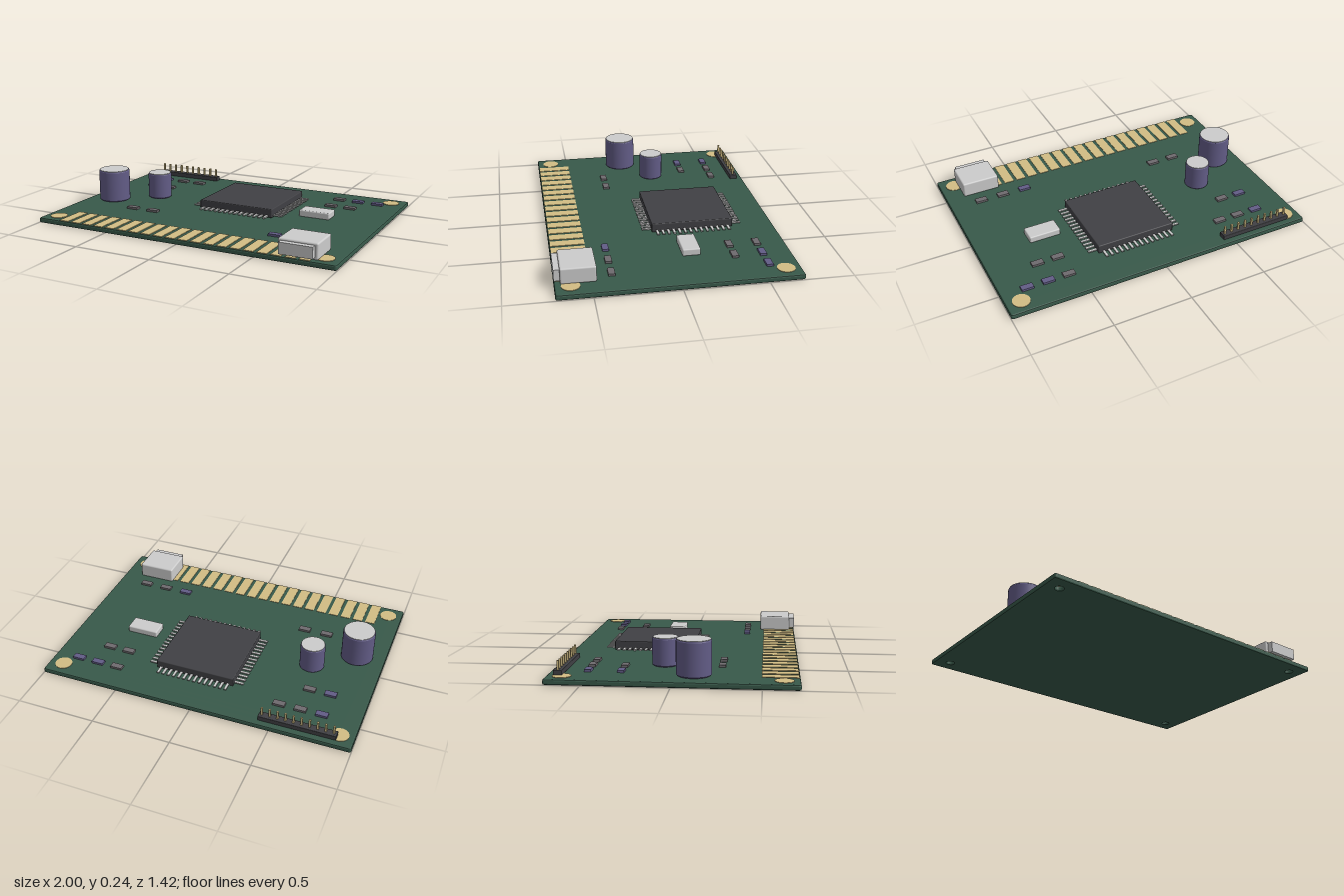
import * as THREE from 'three';
import { RoundedBoxGeometry } from 'three/addons/geometries/RoundedBoxGeometry.js';

const mat = (color) => new THREE.MeshStandardMaterial({ color });

export function createModel() {
  const root = new THREE.Group();
  const green = mat(0x38594a), gold = mat(0xd2bd84), dark = mat(0x404044);
  const purple = mat(0x625c86), brown = mat(0x6e6a6e), metal = mat(0xcccccc);
  const TOP = 0.033; // upper face of the board

  const group = (name) => {
    const g = new THREE.Group();
    g.name = name;
    root.add(g);
    return g;
  };
  const add = (parent, name, geo, material, x, y, z) => {
    const m = new THREE.Mesh(geo, material);
    m.name = name;
    m.position.set(x, y, z);
    parent.add(m);
    return m;
  };
  // block given by size, centre in plan and bottom height; r rounds the edges
  const block = (parent, name, material, [w, h, d], x, y, z, r = 0) =>
    add(parent, name, r ? new RoundedBoxGeometry(w, h, d, 2, r) : new THREE.BoxGeometry(w, h, d),
      material, x, y + h / 2, z);

  // board: bevelled plate with four corner holes
  const W = 1, D = 0.711, c = 0.015, bevel = 0.009;
  const corners = [[-0.91, -0.62], [0.905, -0.62], [-0.91, 0.62], [0.905, 0.62]];
  const plate = new THREE.Shape();
  plate.moveTo(-W + c, -D);
  plate.lineTo(W - c, -D);
  plate.quadraticCurveTo(W, -D, W, -D + c);
  plate.lineTo(W, D - c);
  plate.quadraticCurveTo(W, D, W - c, D);
  plate.lineTo(-W + c, D);
  plate.quadraticCurveTo(-W, D, -W, D - c);
  plate.lineTo(-W, -D + c);
  plate.quadraticCurveTo(-W, -D, -W + c, -D);
  for (const [x, z] of corners) {
    plate.holes.push(new THREE.Path().absarc(x, -z, 0.025, 0, Math.PI * 2, true));
  }
  const boardGeo = new THREE.ExtrudeGeometry(plate, {
    depth: TOP - 2 * bevel, bevelSize: bevel, bevelThickness: bevel,
    bevelOffset: -bevel, bevelSegments: 2, curveSegments: 12,
  });
  boardGeo.rotateX(-Math.PI / 2);
  add(root, 'board', boardGeo, green, 0, bevel, 0);

  // gold pads over the corner holes
  const pads = group('cornerPads');
  for (const [x, z] of corners) {
    add(pads, 'cornerPad', new THREE.CylinderGeometry(0.054, 0.054, 0.004, 32), gold, x, TOP + 0.001, z);
  }

  // edge connector fingers
  const fingers = group('edgeContacts');
  for (let i = 0; i < 20; i++) {
    block(fingers, 'edgeContact', gold, [0.063, 0.004, 0.21], -0.81 + i * 0.0853, TOP - 0.001, 0.6);
  }

  // processor with leads on all four sides
  const chip = group('processor');
  chip.position.set(0.075, 0, -0.19);
  block(chip, 'processorBody', dark, [0.514, 0.057, 0.514], 0, 0.035, 0, 0.006);
  for (let side = 0; side < 4; side++) {
    const row = new THREE.Group();
    row.name = 'leadRow';
    row.rotation.y = side * Math.PI / 2;
    chip.add(row);
    for (let i = 0; i < 14; i++) {
      block(row, 'lead', metal, [0.016, 0.008, 0.07], (i - 6.5) * 0.0346, 0.043, 0.28);
    }
  }

  // can capacitors: coloured sleeve with rounded shoulder and a metal lid
  const capacitor = (x, z, r, top) => {
    const h = top - TOP, b = 0.008;
    const g = group('capacitor');
    g.position.set(x, TOP, z);
    const profile = [
      [0, 0], [r - b, 0], [r, b], [r, b], [r, h - b], [r, h - b],
      [r - b * 0.3, h - b * 0.3], [r - b, h], [r - b, h], [0, h],
    ].map(([px, py]) => new THREE.Vector2(px, py));
    add(g, 'sleeve', new THREE.LatheGeometry(profile, 40), purple, 0, 0, 0);
    add(g, 'lid', new THREE.CylinderGeometry(r * 0.95, r * 0.95, 0.006, 40), metal, 0, h - 0.001, 0);
  };
  capacitor(-0.82, 0.115, 0.102, 0.242);
  capacitor(-0.575, -0.075, 0.078, 0.204);

  // crystal can
  block(root, 'crystal', metal, [0.204, 0.044, 0.11], 0.567, 0.032, -0.115, 0.008);

  // port shell with its projecting mouth
  const port = group('port');
  block(port, 'portShell', metal, [0.242, 0.098, 0.207], 0.76, 0.032, 0.573, 0.01);
  block(port, 'portMouth', metal, [0.204, 0.07, 0.07], 0.76, 0.047, 0.676);

  // pin header
  const header = group('pinHeader');
  block(header, 'headerBase', dark, [0.478, 0.03, 0.05], -0.66, 0.032, -0.648, 0.003);
  for (let i = 0; i < 10; i++) {
    block(header, 'headerPin', gold, [0.012, 0.08, 0.012], -0.88 + i * 0.0489, 0.035, -0.648);
  }

  // small surface parts: z, then [x, is it purple]
  const rows = [
    [-0.497, [[-0.765, 1], [-0.632, 0], [-0.498, 0]]],
    [-0.305, [[-0.765, 1], [-0.632, 0]]],
    [-0.535, [[0.57, 0], [0.702, 1], [0.836, 1]]],
    [-0.365, [[0.57, 0], [0.702, 0]]],
    [0.265, [[-0.575, 0], [-0.425, 0]]],
    [0.38, [[0.493, 1], [0.645, 0], [0.795, 0]]],
  ];
  const chips = group('surfaceParts');
  for (const [z, list] of rows) {
    for (const [x, tint] of list) {
      block(chips, tint ? 'smallCapacitor' : 'resistor', tint ? purple : brown,
        [0.075, 0.016, 0.04], x, 0.031, z);
    }
  }

  return root;
}
